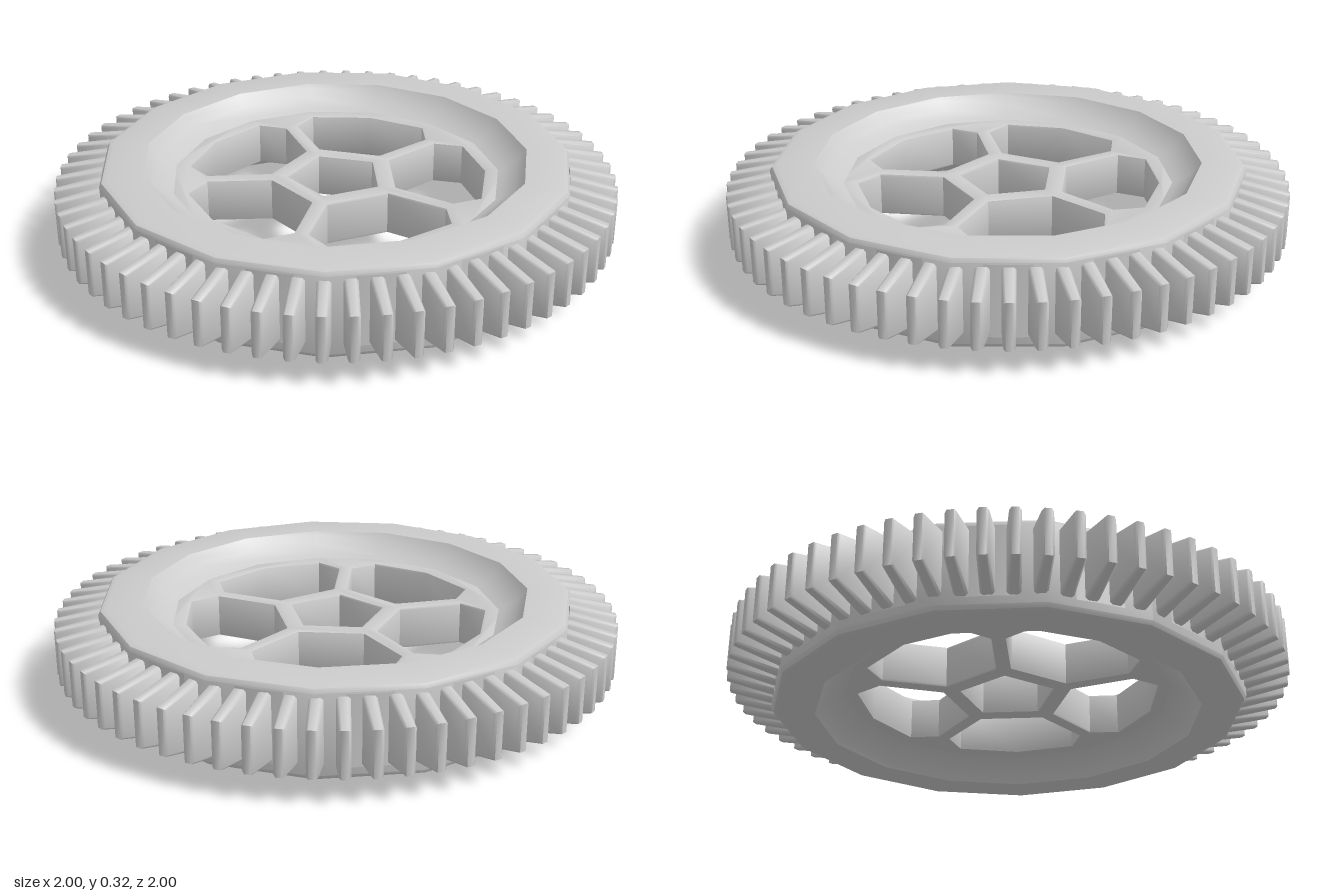
import * as THREE from 'three';
import { toCreasedNormals } from 'three/addons/utils/BufferGeometryUtils.js';

const SIDES = 15, TEETH = 64, SPOKES = 5, MID = 0.16;
const material = new THREE.MeshStandardMaterial({ color: 0xcccccc });

function part(name, geometry, crease = 0.6) {
  const mesh = new THREE.Mesh(toCreasedNormals(geometry, crease), material);
  mesh.name = name;
  return mesh;
}

// Point in the wheel plane, angle in degrees measured from +z
const polar = (r, deg) => {
  const a = THREE.MathUtils.degToRad(deg);
  return new THREE.Vector2(r * Math.sin(a), r * Math.cos(a));
};

// Heavy 15-sided rim with bevelled edges and a shallow bowl on both faces
function rim() {
  const half = [[0.57, 0.072], [0.61, 0.088], [0.655, 0.118], [0.68, 0.147], [0.69, 0.16], [0.82, 0.16], [0.838, 0.154], [0.846, 0.14]];
  const lower = half.map(([r, y]) => new THREE.Vector2(r, MID - y));
  const upper = half.map(([r, y]) => new THREE.Vector2(r, MID + y)).reverse();
  // Out along the bottom, up the side, in along the top, closed by a hidden inner wall
  return part('rim', new THREE.LatheGeometry([...lower, ...upper, lower[0]], SIDES));
}

// Web with five spoke openings and a pentagonal hub opening
function web() {
  const ring = [];
  for (let i = 0; i < SIDES; i++) ring.push(polar(0.62, (-i * 360) / SIDES));
  const shape = new THREE.Shape(ring);
  const hub = [];
  for (let k = 0; k < SPOKES; k++) {
    const c = k * 72;
    const hole = [[0.235, -29], [0.463, -32.7], [0.538, -24], [0.54, 0], [0.538, 24], [0.463, 32.7], [0.235, 29]];
    shape.holes.push(new THREE.Path(hole.map(([r, a]) => polar(r, c + a))));
    hub.push(polar(0.172, c + 36));
  }
  shape.holes.push(new THREE.Path(hub));
  const bevel = 0.01, thickness = 0.16;
  const geometry = new THREE.ExtrudeGeometry(shape, {
    depth: thickness - 2 * bevel, bevelSize: bevel, bevelOffset: -bevel,
    bevelThickness: bevel, bevelSegments: 2,
  });
  geometry.rotateX(Math.PI / 2).translate(0, MID + thickness / 2 - bevel, 0);
  return part('spokedWeb', geometry);
}

// One tooth: a side profile in (radius, height), thinning toward the tip
function toothGeometry() {
  const shape = new THREE.Shape([[0.79, 0.045], [0.84, 0.05], [1, 0.092], [1, 0.255], [0.84, 0.287], [0.79, 0.29]]
    .map(([r, y]) => new THREE.Vector2(r, y)));
  const bevel = 0.008, width = 0.042;
  const geometry = new THREE.ExtrudeGeometry(shape, {
    depth: width - 2 * bevel, bevelSize: bevel, bevelOffset: -bevel,
    bevelThickness: bevel, bevelSegments: 1,
  });
  geometry.translate(0, 0, bevel - width / 2);
  const p = geometry.attributes.position;
  for (let i = 0; i < p.count; i++) {
    p.setZ(i, p.getZ(i) * THREE.MathUtils.mapLinear(p.getX(i), 0.82, 1, 1.1, 0.9));
  }
  return toCreasedNormals(geometry, 0.9);
}

export function createModel() {
  const model = new THREE.Group();
  model.name = 'gearWheel';
  model.add(rim(), web());

  // Band the teeth grow from
  const band = part('toothBand', new THREE.CylinderGeometry(0.832, 0.832, 0.25, TEETH, 1, true));
  band.material = material.clone();
  band.material.side = THREE.DoubleSide;
  band.position.y = 0.17;
  model.add(band);

  const teeth = new THREE.Group();
  teeth.name = 'teeth';
  const tooth = toothGeometry();
  for (let i = 0; i < TEETH; i++) {
    const mesh = new THREE.Mesh(tooth, material);
    mesh.name = 'tooth';
    mesh.rotation.y = ((i + 0.5) * 2 * Math.PI) / TEETH;
    teeth.add(mesh);
  }
  model.add(teeth);
  return model;
}
